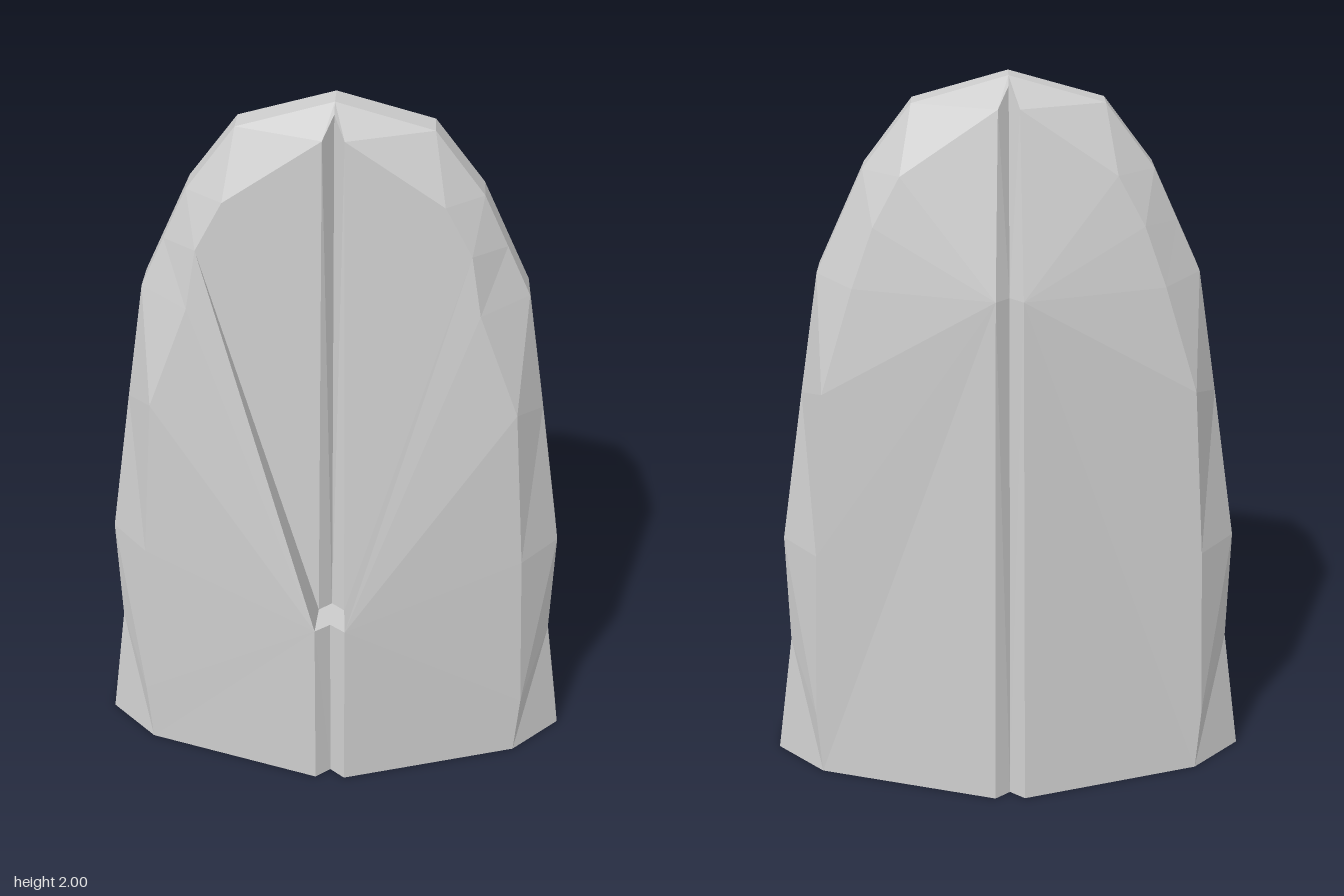
import * as THREE from 'three';

const material = new THREE.MeshStandardMaterial({
  color: 0xcccccc, flatShading: true, side: THREE.DoubleSide,
});

// Outer silhouette, bottom to top: x, y, half thickness of the edge band
const EDGE = [
  [0.685, 0, 0.062], [0.632, 0.37, 0.06], [0.636, 0.7, 0.06], [0.566, 1.14, 0.052],
  [0.51, 1.48, 0.046], [0.445, 1.62, 0.044], [0.38, 1.76, 0.042], [0.25, 1.93, 0.038], [0, 2, 0.036],
];
// Inner line of the bevel, one point for each silhouette point
const FRONT_BEVEL = [
  [0.545, 0, 0.19], [0.557, 0.19, 0.185], [0.53, 0.7, 0.178], [0.49, 1.18, 0.166],
  [0.38, 1.47, 0.152], [0.352, 1.63, 0.132], [0.28, 1.76, 0.122], [0.028, 1.93, 0.118], [0, 1.98, 0.07],
];
const BACK_BEVEL = [
  [0.545, 0, -0.19], [0.557, 0.19, -0.186], [0.535, 0.7, -0.18], [0.5, 1.18, -0.172],
  [0.41, 1.47, -0.155], [0.352, 1.63, -0.14], [0.28, 1.76, -0.126], [0.028, 1.93, -0.118], [0, 1.98, -0.07],
];

// Builds a mesh from convex polygons of the +x half and their mirror images
function mirroredMesh(name, polygons, flip = false) {
  const pos = [];
  for (const side of [1, -1]) {
    for (const poly of polygons) {
      for (let i = 1; i < poly.length - 1; i++) {
        const tri = [poly[0], poly[i], poly[i + 1]];
        if ((side < 0) !== flip) tri.reverse();
        for (const [x, y, z] of tri) pos.push(x * side, y, z);
      }
    }
  }
  const geometry = new THREE.BufferGeometry();
  geometry.setAttribute('position', new THREE.Float32BufferAttribute(pos, 3));
  geometry.computeVertexNormals();
  const mesh = new THREE.Mesh(geometry, material);
  mesh.name = name;
  return mesh;
}

// Quads between two point rows of equal length
const strip = (a, b) => a.slice(1).map((_, i) => [a[i], b[i], b[i + 1], a[i + 1]]);
// Triangles from one hub to each segment of a row
const fan = (hub, row) => row.slice(1).map((p, i) => [hub, row[i], p]);

export function createModel() {
  const group = new THREE.Group();
  group.name = 'shell';
  const frontEdge = EDGE;
  const backEdge = EDGE.map(([x, y, z]) => [x, y, -z]);
  const F = FRONT_BEVEL, B = BACK_BEVEL;

  // Narrow band around the silhouette and the bevels beside it
  group.add(mirroredMesh('edgeBand', strip(frontEdge, backEdge)));
  group.add(mirroredMesh('frontBevel', strip(F, frontEdge)));
  group.add(mirroredMesh('backBevel', strip(B, backEdge), true));

  // Front: raised lower panel, sunken upper panel, step and ledge between them
  const foot = [0.042, 0, 0.338], crest = [0.042, 0.55, 0.326];
  const sunk = [0.036, 0.55, 0.23];
  const grooveFoot = [0, 0, 0.305], grooveCrest = [0, 0.55, 0.295], grooveSunk = [0, 0.55, 0.2];
  group.add(mirroredMesh('frontLowerPanel', fan(crest, [foot, ...F.slice(0, 5)])));
  group.add(mirroredMesh('frontStep', [[crest, F[4], F[5]], [crest, F[5], sunk]]));
  group.add(mirroredMesh('frontUpperPanel', fan(sunk, F.slice(5, 8))));
  group.add(mirroredMesh('frontLedge', [[grooveCrest, crest, sunk, grooveSunk]]));
  group.add(mirroredMesh('frontGroove', [
    [grooveFoot, foot, crest, grooveCrest],
    [grooveSunk, sunk, F[7], F[8]],
  ]));

  // Back: one panel bent at the shoulder, with a full-height groove
  const backFoot = [0.042, 0, -0.336], shoulder = [0.036, 1.46, -0.24];
  const grooveBackFoot = [0, 0, -0.305], grooveShoulder = [0, 1.46, -0.205];
  group.add(mirroredMesh('backPanel', fan(shoulder, [backFoot, ...B.slice(0, 8)]), true));
  group.add(mirroredMesh('backGroove', [
    [grooveBackFoot, backFoot, shoulder, grooveShoulder],
    [grooveShoulder, shoulder, B[7], B[8]],
  ], true));

  return group;
}
